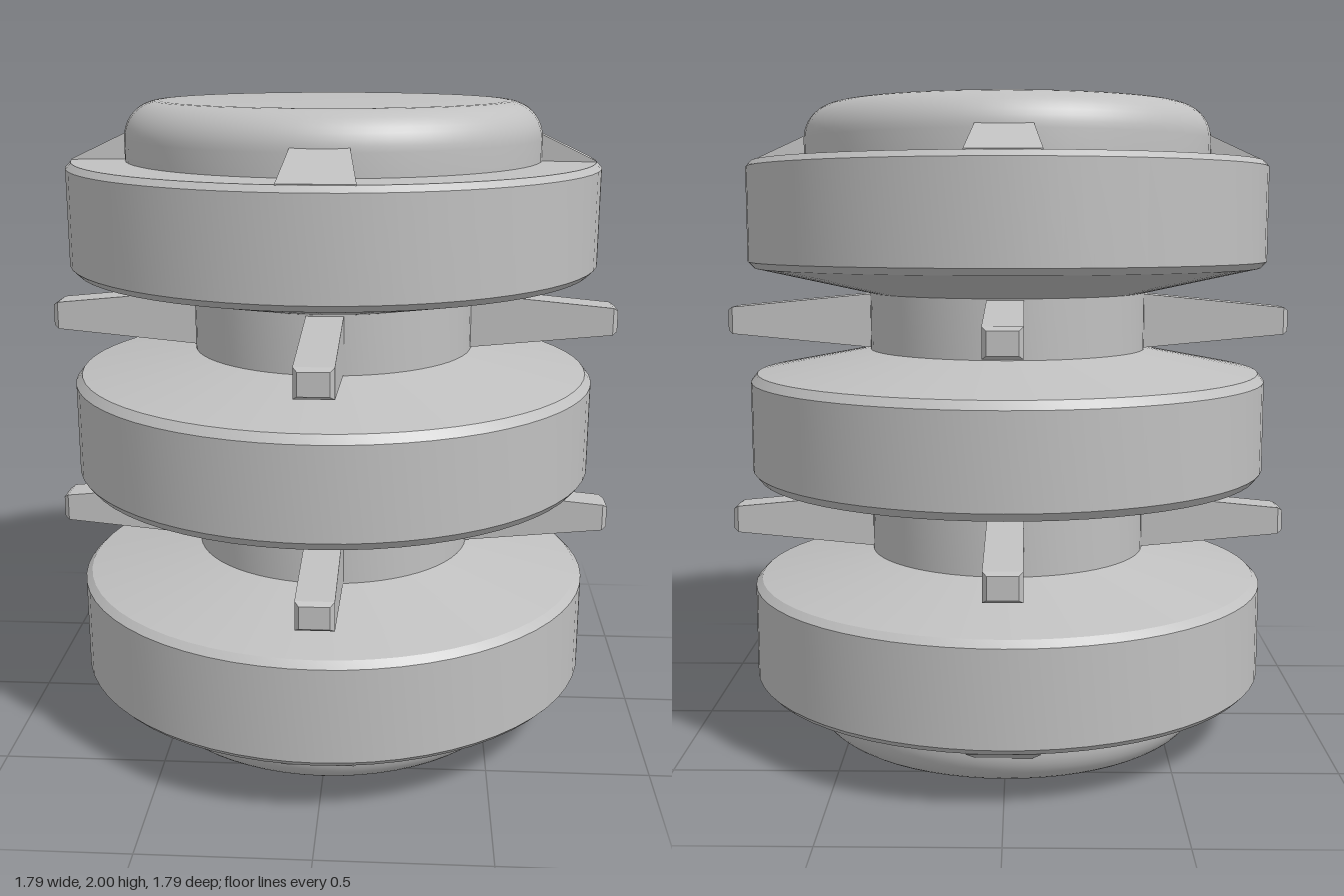
import * as THREE from 'three';
import { toCreasedNormals } from 'three/addons/utils/BufferGeometryUtils.js';

const SEGMENTS = 64;
const CREASE = 0.3;

// Turned solid from [radius, y] points listed from bottom to top
function turned(points) {
  const profile = points.map(([r, y]) => new THREE.Vector2(r, y));
  return toCreasedNormals(new THREE.LatheGeometry(profile, SEGMENTS), CREASE);
}

// Bar along +z through rectangular sections [z, halfWidth, bottom, top]
function bar(sections) {
  const n = sections.length - 1;
  const geo = new THREE.BoxGeometry(2, 2, n, 1, 1, n);
  const p = geo.attributes.position;
  for (let i = 0; i < p.count; i++) {
    const [z, w, lo, hi] = sections[Math.round(p.getZ(i) + n / 2)];
    p.setXYZ(i, p.getX(i) * w, p.getY(i) > 0 ? hi : lo, z);
  }
  const flat = geo.toNonIndexed();
  flat.computeVertexNormals();
  return flat;
}

export function createModel() {
  const model = new THREE.Group();
  model.name = 'ribbedSpool';
  const metal = new THREE.MeshStandardMaterial({ color: 0xc0c0c0 });
  metal.name = 'plain grey';

  const add = (parent, name, geometry) => {
    const mesh = new THREE.Mesh(geometry, metal);
    mesh.name = name;
    parent.add(mesh);
    return mesh;
  };
  // Four copies around the axis
  const addFour = (parent, name, geometry) => {
    for (let i = 0; i < 4; i++) add(parent, name, geometry).rotation.y = i * Math.PI / 2;
  };

  // Middle disc, with conical faces running down to the core
  add(model, 'middleDisc', turned([
    [0.44, 0.765], [0.8, 0.835], [0.82, 0.86], [0.82, 1.14], [0.8, 1.165], [0.44, 1.235],
  ]));

  // Core necks with four tapered spokes each
  const spoke = bar([
    [0.4, 0.055, -0.089, 0.089],
    [0.88, 0.055, -0.043, 0.043],
    [0.895, 0.043, -0.033, 0.033],
  ]);
  const neck = turned([[0.44, -0.09], [0.44, 0.09]]);
  for (const y of [0.675, 1.325]) {
    const level = new THREE.Group();
    level.name = 'neckWithSpokes';
    level.position.y = y;
    add(level, 'neck', neck);
    addFour(level, 'spoke', spoke);
    model.add(level);
  }

  // End disc: cone below, flat shoulder above (y measured from mid height)
  const endDisc = turned([
    [0.44, 0.415], [0.8, 0.495], [0.82, 0.515], [0.82, 0.805], [0.803, 0.823], [0.6, 0.823],
  ]);

  // Cap with rounded rim
  const capPoints = [[0.64, 0.81]];
  for (let i = 0; i <= 10; i++) {
    const a = i / 10 * Math.PI / 2;
    capPoints.push([0.53 + 0.11 * Math.cos(a), 0.89 + 0.11 * Math.sin(a)]);
  }
  capPoints.push([0, 1]);
  const cap = turned(capPoints);

  // Sloping wedge between cap and shoulder
  const wedge = bar([
    [0.62, 0.079, 0.815, 0.909],
    [0.797, 0.105, 0.815, 0.825],
  ]);

  // Upper end, and the same turned over for the lower end
  for (const lower of [false, true]) {
    const end = new THREE.Group();
    end.name = lower ? 'lowerEnd' : 'upperEnd';
    add(end, 'endDisc', endDisc);
    add(end, 'cap', cap);
    addFour(end, 'wedge', wedge);
    end.position.y = 1;
    if (lower) end.rotation.x = Math.PI;
    model.add(end);
  }

  return model;
}
